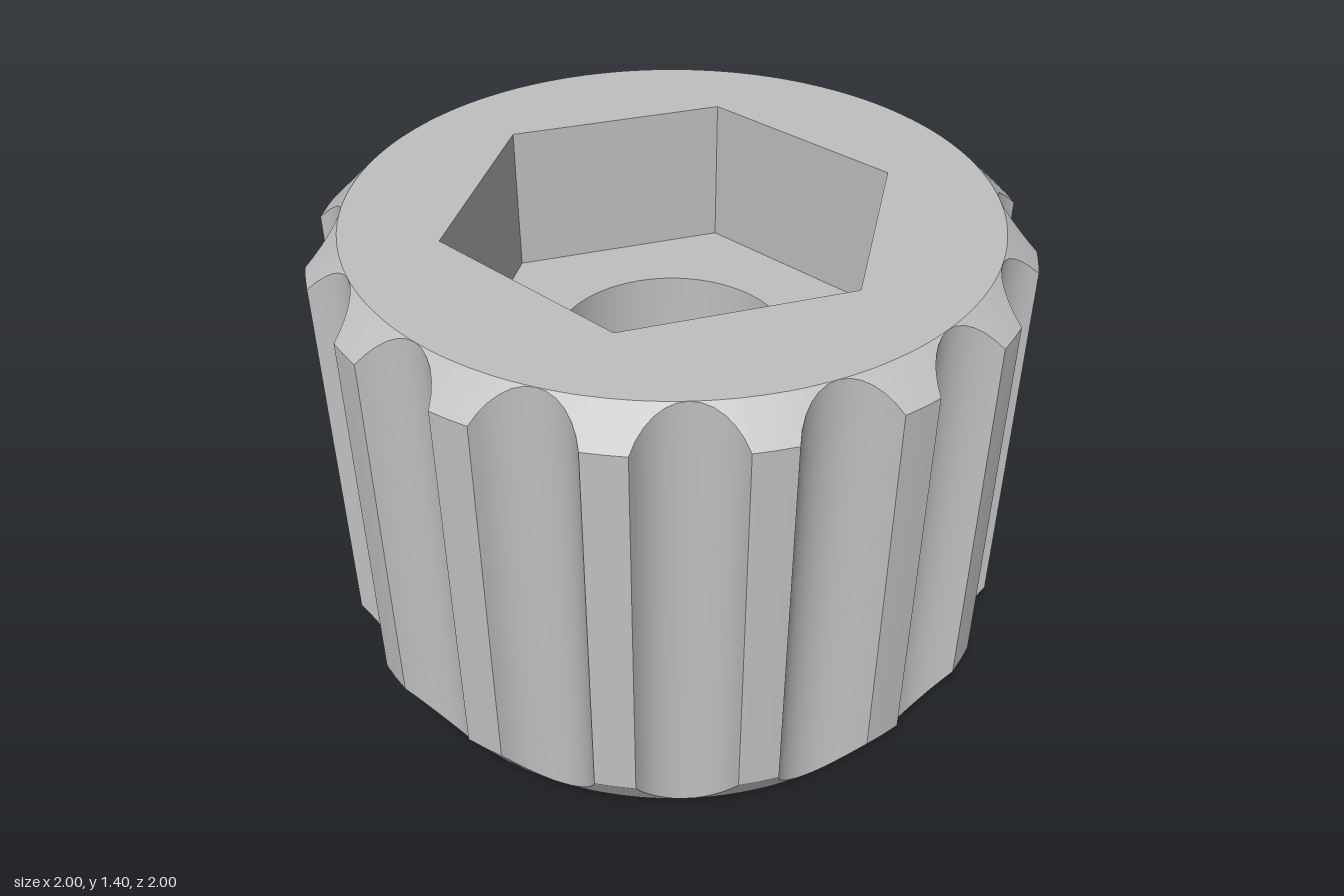
import * as THREE from 'three';
import { toCreasedNormals } from 'three/addons/utils/BufferGeometryUtils.js';

const HEIGHT = 1.4, R = 1.01, R_END = 0.915;      // outer radius, end face radius
const CHAMFER_LOW = 0.155, CHAMFER_TOP = 0.09;
const FLUTES = 16, FLUTE_R = 0.158, FLUTE_C = R_END + FLUTE_R;
const SOCKET_Y = 0.95, BORE_Y = 0.35, BORE_R = 0.35, HEX_R = 0.65;

// Point at an angle measured from the front (+z) towards +x
const polar = (r, a, y) => new THREE.Vector3(r * Math.sin(a), y, r * Math.cos(a));

// Closed ring of a regular polygon
const ring = (r, n, y) => Array.from({ length: n }, (_, i) => polar(r, (i / n) * Math.PI * 2, y));

// Wall between two closed rings; faces outward, or inward when the rings are swapped
function strip(low, high) {
  const pos = [];
  low.forEach((a, i) => {
    const j = (i + 1) % low.length;
    for (const p of [a, low[j], high[j], a, high[j], high[i]]) pos.push(p.x, p.y, p.z);
  });
  const geo = new THREE.BufferGeometry();
  geo.setAttribute('position', new THREE.Float32BufferAttribute(pos, 3));
  return toCreasedNormals(geo, 0.45);
}

// Flat face bounded by a ring, with an optional hole
function cap(outline, hole, up = true) {
  const flat = (pts) => pts.map((p) => new THREE.Vector2(p.x, up ? -p.z : p.z));
  const shape = new THREE.Shape(flat(outline));
  if (hole) shape.holes.push(new THREE.Path(flat(hole)));
  const geo = new THREE.ShapeGeometry(shape);
  geo.rotateX(up ? -Math.PI / 2 : Math.PI / 2);
  return geo.translate(0, outline[0].y, 0);
}

// Radius and angle of every column around the fluted outline
function flutedColumns() {
  const columns = [], steps = 12;
  const limit = Math.acos((FLUTE_C ** 2 + FLUTE_R ** 2 - R ** 2) / (2 * FLUTE_C * FLUTE_R));
  for (let f = 0; f < FLUTES; f++) {
    const mid = (f / FLUTES) * Math.PI * 2;
    for (let s = 0; s <= steps; s++) {
      const phi = limit * ((2 * s) / steps - 1);
      const out = FLUTE_C - FLUTE_R * Math.cos(phi), across = FLUTE_R * Math.sin(phi);
      columns.push({ r: Math.hypot(out, across), a: mid + Math.atan2(across, out) });
    }
    columns.push({ r: R, a: mid + Math.PI / FLUTES });   // middle of the land
  }
  return columns;
}

export function createModel() {
  const model = new THREE.Group();
  model.name = 'flutedKnob';
  const grey = new THREE.MeshStandardMaterial({ color: 0xc0c0c0 });
  grey.name = 'grey';
  const add = (name, geo) => {
    const mesh = new THREE.Mesh(geo, grey);
    mesh.name = name;
    model.add(mesh);
  };

  // Fluted side, trimmed by the conical chamfers at both ends
  const columns = flutedColumns();
  const rise = (r) => (r - R_END) / (R - R_END);
  const bottom = columns.map(({ a }) => polar(R_END, a, 0));
  const sideLow = columns.map(({ r, a }) => polar(r, a, CHAMFER_LOW * rise(r)));
  const sideHigh = columns.map(({ r, a }) => polar(r, a, HEIGHT - CHAMFER_TOP * rise(r)));
  const top = columns.map(({ a }) => polar(R_END, a, HEIGHT));
  add('lowerChamfer', strip(bottom, sideLow));
  add('flutedSide', strip(sideLow, sideHigh));
  add('upperChamfer', strip(sideHigh, top));

  // End faces
  const hexTop = ring(HEX_R, 6, HEIGHT), hexFloor = ring(HEX_R, 6, SOCKET_Y);
  add('topFace', cap(top, hexTop));
  add('bottomFace', cap(bottom, null, false));

  // Hexagonal socket with a round blind bore in its floor
  const boreTop = ring(BORE_R, 48, SOCKET_Y), boreFloor = ring(BORE_R, 48, BORE_Y);
  add('socketWall', strip(hexTop, hexFloor));
  add('socketFloor', cap(hexFloor, boreTop));
  add('boreWall', strip(boreTop, boreFloor));
  add('boreFloor', cap(boreFloor));

  return model;
}
